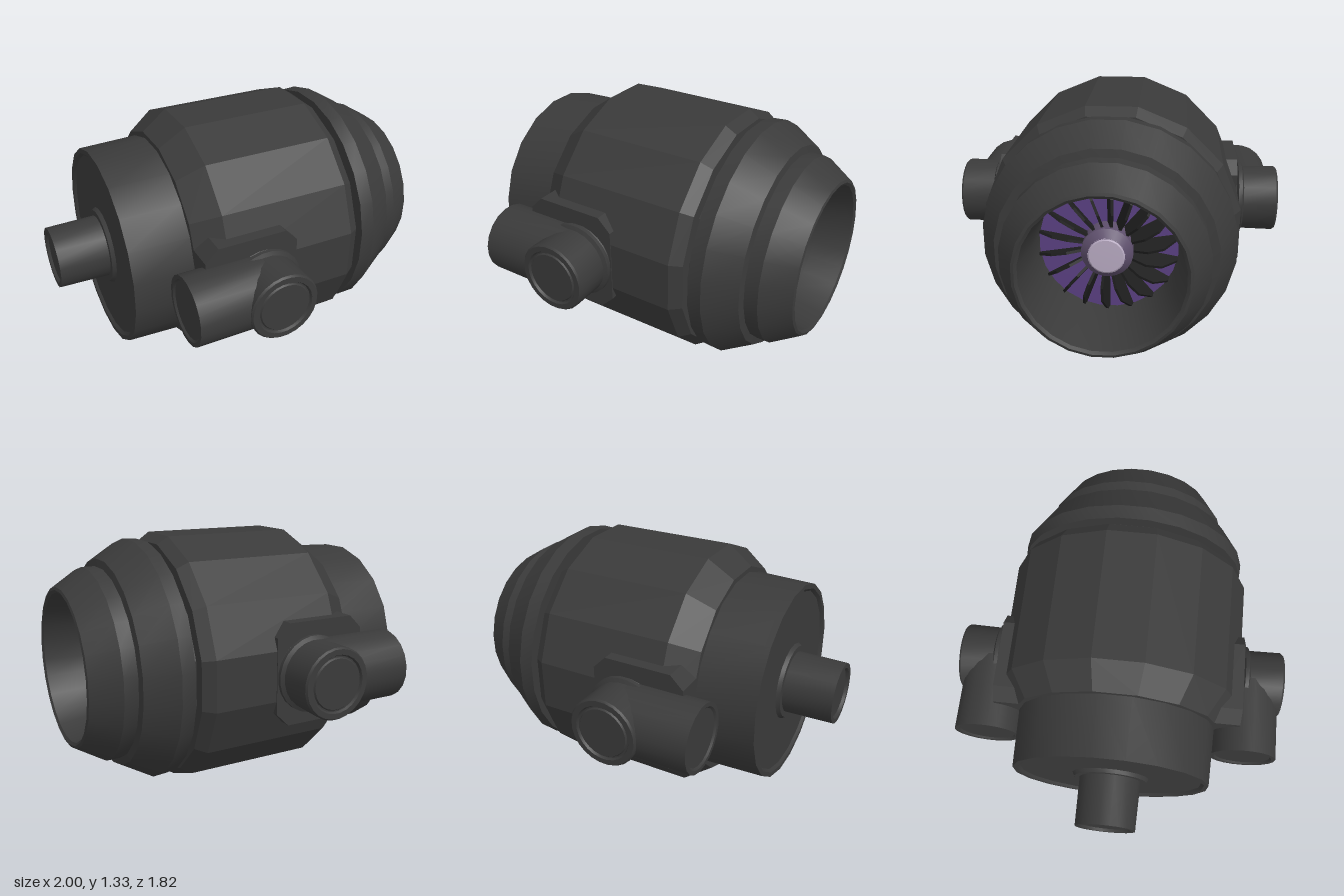
import * as THREE from 'three';
import { toCreasedNormals } from 'three/addons/utils/BufferGeometryUtils.js';

const AXIS_Y = 0.667;
const mat = (name, color) => {
  const m = new THREE.MeshStandardMaterial({ color });
  m.name = name;
  return m;
};

export function createModel() {
  const root = new THREE.Group();
  root.name = 'jetEngine';
  const casing = mat('darkCasing', 0x3a3a3a);
  const black = mat('bladeBlack', 0x1e1e1e);
  const purple = mat('innerPurple', 0x5a4082);
  const mauve = mat('hubMauve', 0x5e4f6c);
  const lilac = mat('hubLilac', 0xb8aac2);

  const engine = new THREE.Group();
  engine.name = 'engine';
  engine.position.y = AXIS_Y;
  root.add(engine);

  const add = (parent, name, geo, material) => {
    const mesh = new THREE.Mesh(geo, material);
    mesh.name = name;
    parent.add(mesh);
    return mesh;
  };

  // Turned part from [position, radius] pairs, along local y; a flat faces each axis
  const turned = (profile, sides, crease) => toCreasedNormals(
    new THREE.LatheGeometry(profile.map(([p, r]) => new THREE.Vector2(r, p)), sides, Math.PI / sides), crease);
  const alongX = (name, profile, sides, crease, material = casing) =>
    add(engine, name, turned(profile, sides, crease).rotateZ(-Math.PI / 2), material);

  // Main casing with bevelled ends and the groove in front of it
  alongX('mainCasing', [[-0.41, 0], [-0.41, 0.58], [-0.27, 0.68], [0.44, 0.68], [0.5, 0.64],
    [0.5, 0.58], [0.56, 0.58]], 16, 0.3);

  // Intake ring, then the nose lip with its inner wall
  alongX('intakeRing', [[0.535, 0.56], [0.535, 0.645], [0.61, 0.65], [0.77, 0.555], [0.78, 0.5]], 24, 0.35);
  alongX('noseLip', [[0.76, 0.515], [0.85, 0.515], [0.995, 0.425], [1, 0.41], [0.99, 0.395],
    [0.8, 0.365], [0.62, 0.355]], 24, 0.35);

  // Rear drum with a shallow lip round its back face
  alongX('rearDrum', [[-0.715, 0], [-0.715, 0.5], [-0.73, 0.515], [-0.73, 0.54], [-0.41, 0.55]], 20, 0.35);
  alongX('exhaustCollar', [[-0.735, 0.16], [-0.735, 0.2], [-0.71, 0.215]], 20, 0.4);
  alongX('exhaustPipe', [[-0.985, 0], [-0.985, 0.13], [-1, 0.14], [-1, 0.165], [-0.71, 0.17]], 20, 0.4);

  // Glowing back plate and hub
  alongX('fanBackPlate', [[0.62, 0.36], [0.625, 0]], 32, 0.5, purple);
  alongX('hub', [[0.62, 0.13], [0.72, 0.13], [0.76, 0.092]], 24, 0.5, mauve);
  alongX('hubCap', [[0.758, 0.094], [0.764, 0.085], [0.766, 0]], 24, 0.5, lilac);

  // Ring of twisted, leaf-shaped fan blades
  const leaf = new THREE.Shape([[0, 0.11], [0.08, 0.12], [0.11, 0.2], [0.1, 0.28], [0.03, 0.355], [0, 0.355]]
    .map(([x, y]) => new THREE.Vector2(x, y)));
  const bladeGeo = new THREE.ExtrudeGeometry(leaf, { depth: 0.014, bevelEnabled: false })
    .translate(0, 0, -0.007).rotateY(0.25);
  const BLADES = 18;
  for (let i = 0; i < BLADES; i++) {
    const blade = add(engine, 'fanBlade', bladeGeo, black);
    blade.position.x = 0.62;
    blade.rotation.x = (i / BLADES) * Math.PI * 2;
  }

  // Side fittings, mirrored front and back by choosing the sign of z
  const plateShape = new THREE.Shape([[-0.41, -0.2], [-0.34, -0.27], [0.03, -0.27], [0.1, -0.2],
    [0.1, 0.2], [0.03, 0.27], [-0.34, 0.27], [-0.41, 0.2]].map(([x, y]) => new THREE.Vector2(x, y)));
  for (const s of [1, -1]) {
    const side = new THREE.Group();
    side.name = s > 0 ? 'frontPort' : 'backPort';
    engine.add(side);

    // Chamfered mounting plate
    const plate = add(side, 'mountingPlate',
      new THREE.ExtrudeGeometry(plateShape, { depth: 0.15, bevelEnabled: false }), casing);
    plate.position.z = s > 0 ? 0.522 : -0.672;

    // Port drum with a collar and a grooved end face
    const port = turned([[0.62, 0.17], [0.66, 0.2], [0.68, 0.185], [0.69, 0.203], [0.71, 0.203], [0.72, 0.183],
      [0.9, 0.186], [0.91, 0.178], [0.91, 0.15], [0.898, 0.143], [0.898, 0.136], [0.906, 0.13], [0.906, 0]], 24, 0.4)
      .rotateX(s * Math.PI / 2);
    add(side, 'portDrum', port, casing).position.x = -0.095;

    // Elbow pipe leading to the rear
    const pipe = turned([[-0.53, 0], [-0.53, 0.15], [-0.54, 0.16], [-0.54, 0.182], [-0.1, 0.182]], 20, 0.4)
      .rotateZ(-Math.PI / 2);
    add(side, 'elbowPipe', pipe, casing).position.z = s * 0.718;
  }
  return root;
}
